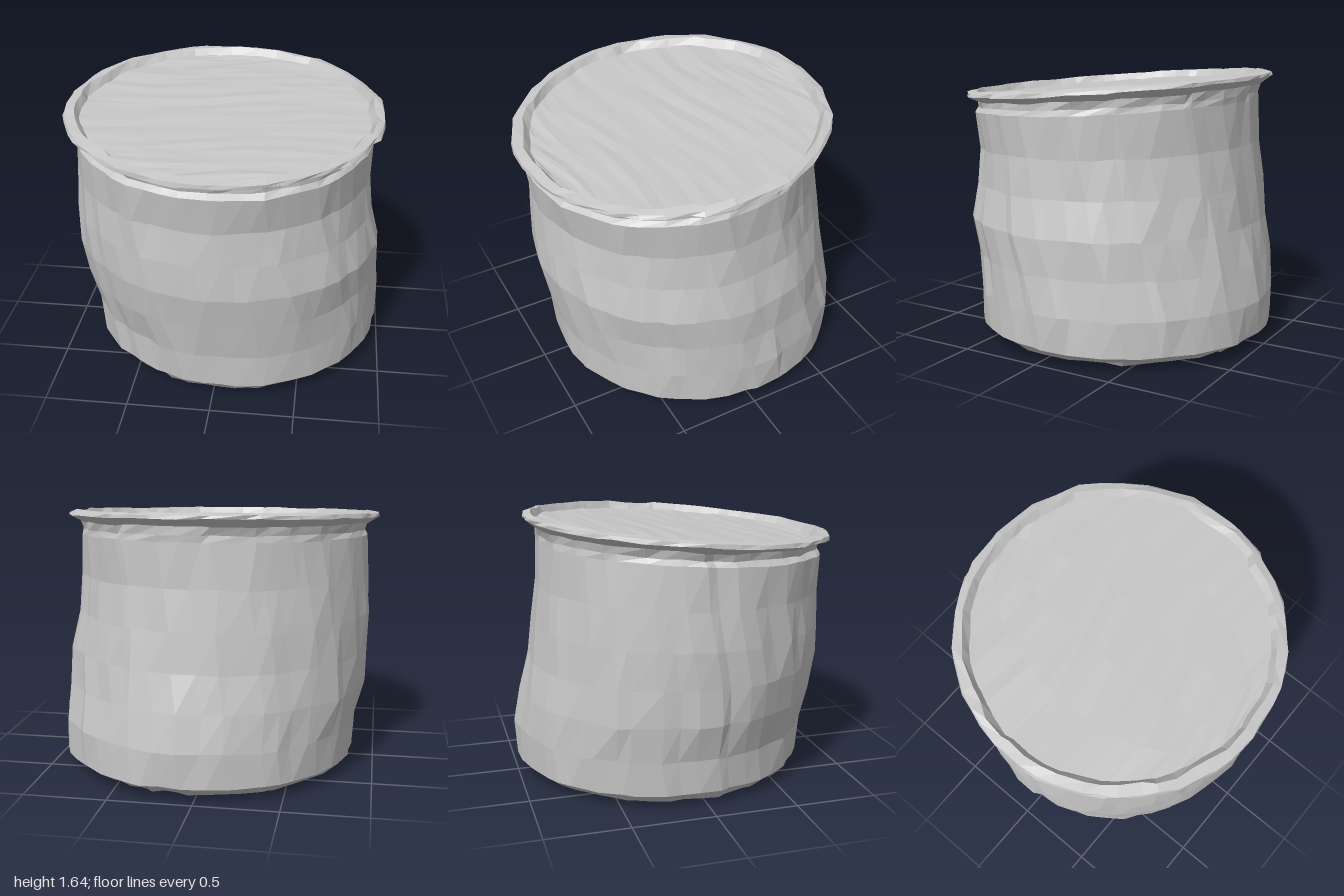
import * as THREE from 'three';

// repeatable noise in -1..1
const noise = (i, j) => {
  const s = Math.sin(i * 127.1 + j * 311.7 + 3.3) * 43758.5453;
  return (s - Math.floor(s)) * 2 - 1;
};

const SEGMENTS = 52;

// height of a tilted plane: falls to the front and a little to the left
const plane = (y, tilt, x, z) => y + tilt * (z + 0.12 * x);

// ring: [y, xMin, xMax, zMin, zMax, tilt, rotation, roughness]
function ringPoint(ring, i, row) {
  const [y, x0, x1, z0, z1, tilt, turn, rough] = ring;
  const k = i % SEGMENTS;
  const a = (k + 0.35 * noise(k, 5)) / SEGMENTS * Math.PI * 2 + turn;
  const r = 1 + rough * (0.6 * noise(k, 1) + 0.6 * noise(k, row + 10) - 0.4);
  const z = (z0 + z1) / 2 + Math.sin(a) * r * (z1 - z0) / 2;
  const x = (x0 + x1) / 2 + Math.cos(a) * r * (x1 - x0) / 2;
  return [x, Math.max(0, plane(y, tilt, x, z) + rough * 0.35 * noise(k, row + 40)), z];
}

function toGeometry(positions) {
  const g = new THREE.BufferGeometry();
  g.setAttribute('position', new THREE.Float32BufferAttribute(positions.flat(), 3));
  g.computeVertexNormals();
  return g;
}

// skin a stack of rings, listed from the bottom up
function loft(rings, firstRow) {
  const out = [];
  for (let j = 0; j < rings.length - 1; j++) {
    for (let i = 0; i < SEGMENTS; i++) {
      const a = ringPoint(rings[j], i, firstRow + j);
      const b = ringPoint(rings[j], i + 1, firstRow + j);
      const c = ringPoint(rings[j + 1], i, firstRow + j + 1);
      const d = ringPoint(rings[j + 1], i + 1, firstRow + j + 1);
      out.push(a, c, b, b, c, d);
    }
  }
  return toGeometry(out);
}

// oval plate of long uneven strips running across x
function grainPlate([y, x0, x1, z0, z1, tilt], facing, bump) {
  const rows = 36, cols = 5, out = [];
  const point = (r, c) => {
    const a = r / rows * Math.PI;
    const u = c / cols * 2 - 1;
    const inside = c > 0 && c < cols && r > 0 && r < rows;
    const z = (z0 + z1) / 2 - Math.cos(a) * (z1 - z0) / 2 - (inside ? 0.06 * u * Math.sin(a) : 0);
    const x = (x0 + x1) / 2 + u * Math.sin(a) * (x1 - x0) / 2;
    return [x, plane(y, tilt, x, z) + bump * noise(r, c + 80), z];
  };
  for (let r = 0; r < rows; r++) {
    for (let c = 0; c < cols; c++) {
      const p = point(r, c), px = point(r, c + 1);
      const pz = point(r + 1, c), pd = point(r + 1, c + 1);
      if (facing > 0) out.push(p, pz, px, px, pz, pd);
      else out.push(p, px, pz, px, pd, pz);
    }
  }
  return toGeometry(out);
}

export function createModel() {
  const group = new THREE.Group();
  const grey = new THREE.MeshStandardMaterial({ color: 0xc6c6c6, flatShading: true, side: THREE.DoubleSide });
  grey.name = 'grey';
  const add = (name, geometry) => {
    const mesh = new THREE.Mesh(geometry, grey);
    mesh.name = name;
    group.add(mesh);
  };

  // leaning, slightly twisted side wall
  const wall = [
    [0.09, -0.865, 0.985, -0.995, 0.865, 0, 0, 0.014],
    [0.30, -0.88, 0.985, -0.995, 0.875, 0, 0.04, 0.015],
    [0.52, -0.93, 0.96, -0.955, 0.915, 0, 0.08, 0.015],
    [0.74, -0.945, 0.96, -0.91, 0.95, 0, 0.13, 0.015],
    [0.96, -0.945, 0.905, -0.88, 0.935, -0.01, 0.18, 0.015],
    [1.185, -0.935, 0.88, -0.845, 0.915, -0.03, 0.23, 0.015],
    [1.43, -0.92, 0.89, -0.835, 0.95, -0.055, 0.27, 0.013],
  ];
  add('sideWall', loft(wall, 0));

  // tucked-in foot with a low lip around the recessed base
  add('foot', loft([
    [0.04, -0.74, 0.84, -0.85, 0.75, 0, 0, 0.015],
    [0.012, -0.77, 0.86, -0.86, 0.785, 0, 0, 0.025],
    [0.035, -0.80, 0.90, -0.91, 0.815, 0, 0, 0.02],
    wall[0],
  ], -3));
  add('base', grainPlate([0.035, -0.765, 0.86, -0.86, 0.78, 0], -1, 0.006));

  // neck, flared lip and inner edge of the tilted rim
  add('rim', loft([
    wall[6],
    [1.462, -0.90, 0.875, -0.835, 0.915, -0.062, 0.27, 0.014],
    [1.505, -0.915, 0.88, -0.845, 0.922, -0.07, 0.27, 0.016],
    [1.543, -0.998, 0.955, -0.915, 0.998, -0.075, 0.27, 0.013],
    [1.565, -0.988, 0.947, -0.91, 0.992, -0.075, 0.27, 0.013],
    [1.575, -0.935, 0.905, -0.865, 0.935, -0.075, 0.27, 0.016],
    [1.525, -0.90, 0.87, -0.83, 0.895, -0.075, 0.27, 0.016],
  ], 6));
  add('lid', grainPlate([1.53, -0.91, 0.88, -0.84, 0.905, -0.075], 1, 0.006));

  return group;
}
